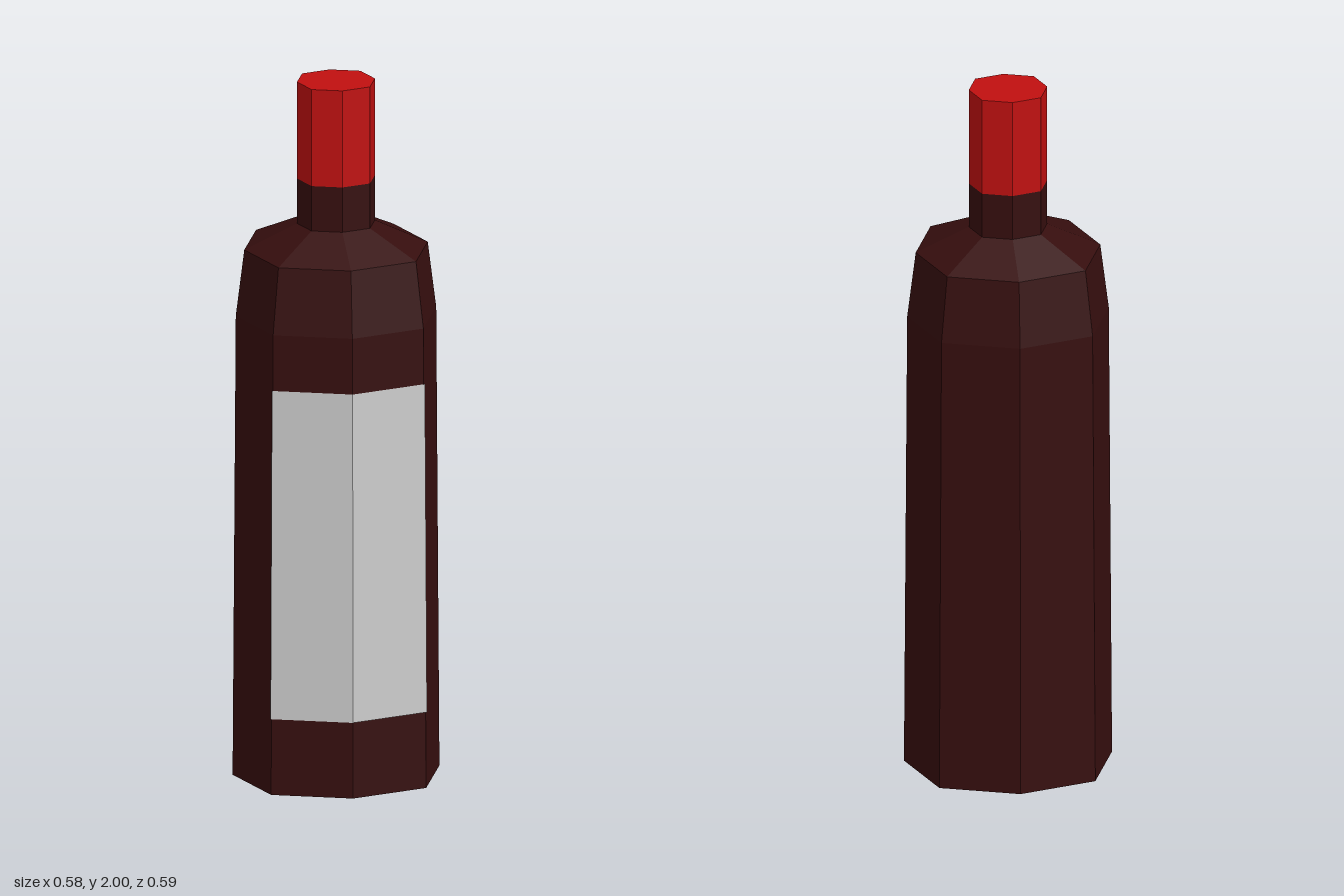
import * as THREE from 'three';

const CORNER = 1.06; // diagonal corners sit slightly further out than the axis ones

// Eight-sided turned solid from [radius, y] pairs, listed bottom to top
function turned(name, profile, material, start = 0, sweep = Math.PI * 2) {
  const sides = Math.round(sweep / (Math.PI / 4));
  const points = profile.map(([r, y]) => new THREE.Vector2(r, y));
  const geometry = new THREE.LatheGeometry(points, sides, start, sweep);
  const pos = geometry.attributes.position;
  for (let i = 0; i < pos.count; i++) {
    const x = pos.getX(i), z = pos.getZ(i);
    if (Math.abs(x) > 0.01 && Math.abs(z) > 0.01) {
      pos.setX(i, x * CORNER);
      pos.setZ(i, z * CORNER);
    }
  }
  geometry.computeVertexNormals();
  const mesh = new THREE.Mesh(geometry, material);
  mesh.name = name;
  return mesh;
}

export function createModel() {
  const model = new THREE.Group();
  model.name = 'bottle';

  const glass = new THREE.MeshStandardMaterial({ color: 0x360e0e, flatShading: true });
  const foil = new THREE.MeshStandardMaterial({ color: 0xc01010, flatShading: true });
  const paper = new THREE.MeshStandardMaterial({ color: 0xcccccc, flatShading: true, side: THREE.DoubleSide });

  // Body, shoulder and lower neck
  model.add(turned('glassBody', [
    [0, 0], [0.292, 0], [0.283, 1.33], [0.259, 1.52], [0.11, 1.59], [0.11, 1.72],
  ], glass));

  // Foil cap over the top of the neck
  model.add(turned('foilCap', [[0.11, 1.72], [0.11, 2], [0, 2]], foil));

  // Label wrapped over the two front faces, following the body's taper
  model.add(turned('label', [[0.2945, 0.22], [0.288, 1.17]], paper, -Math.PI / 4, Math.PI / 2));

  return model;
}
